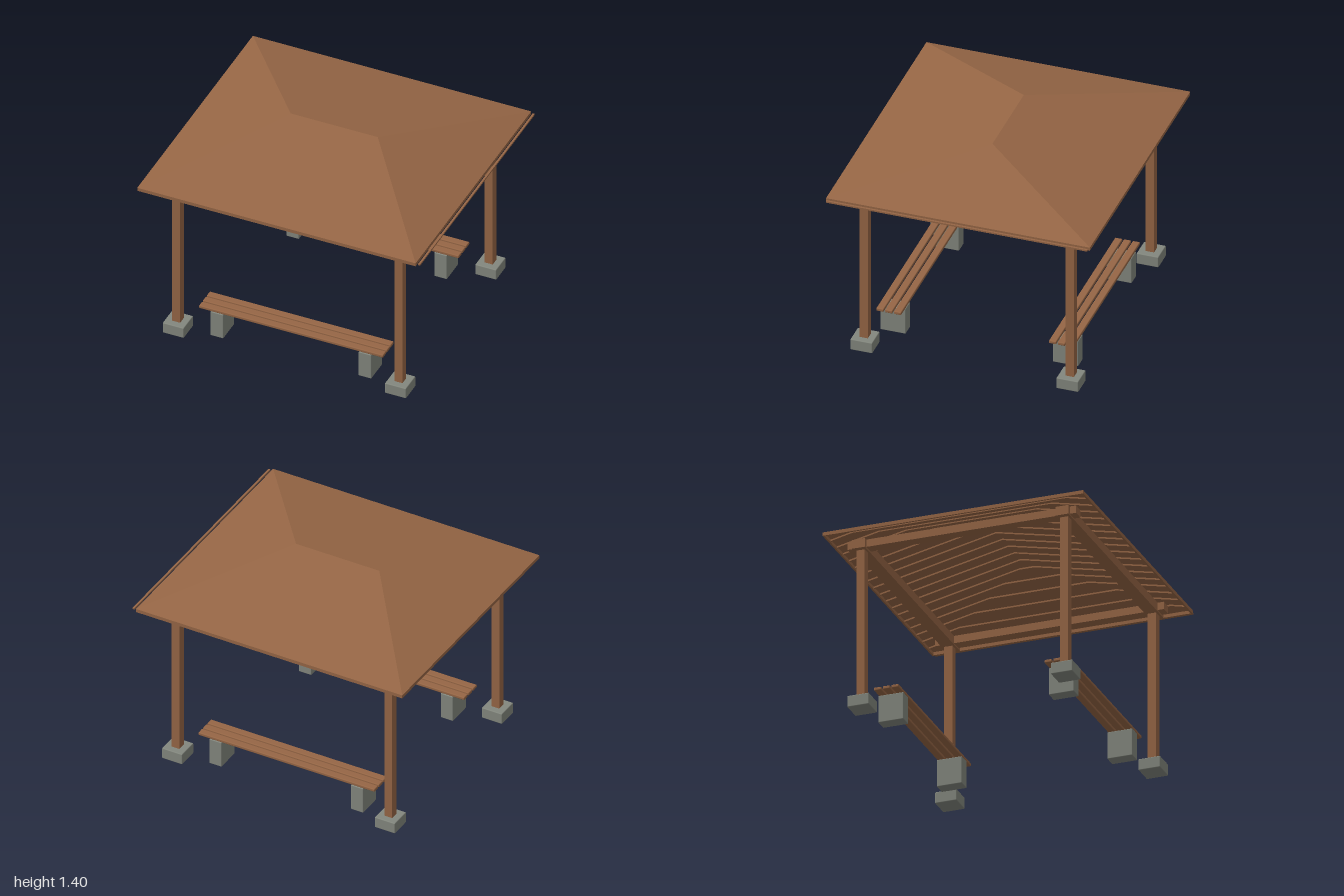
import * as THREE from 'three';
import { RoundedBoxGeometry } from 'three/addons/geometries/RoundedBoxGeometry.js';

const CX = -0.015;          // middle of the shelter along x
const HALF_X = 0.985, HALF_Z = 0.9, RIDGE = 0.308;
const EAVE = 1.21, RISE = 0.195;

export function createModel() {
  const group = new THREE.Group();
  const wood = new THREE.MeshStandardMaterial({ color: 0x966645 });
  wood.name = 'wood';
  const concrete = new THREE.MeshStandardMaterial({ color: 0x83877e });
  concrete.name = 'concrete';

  const add = (name, geometry, material, x = 0, y = 0, z = 0) => {
    const mesh = new THREE.Mesh(geometry, material);
    mesh.name = name;
    mesh.position.set(x, y, z);
    group.add(mesh);
    return mesh;
  };
  const box = (name, w, h, d, x, y, z) => add(name, new THREE.BoxGeometry(w, h, d), wood, x, y, z);
  const block = (name, w, h, d, x, y, z, material, r) =>
    add(name, new RoundedBoxGeometry(w, h, d, 2, r), material, x, y, z);

  // Hipped roof skin: four slopes, seen from above or (flipped) from below
  const slopes = (drop, flip) => {
    const y0 = EAVE - drop, y1 = EAVE + RISE - drop;
    const fl = [-HALF_X, y0, HALF_Z], fr = [HALF_X, y0, HALF_Z];
    const bl = [-HALF_X, y0, -HALF_Z], br = [HALF_X, y0, -HALF_Z];
    const rl = [-RIDGE, y1, 0], rr = [RIDGE, y1, 0];
    const faces = [[fl, fr, rr], [fl, rr, rl], [br, bl, rl], [br, rl, rr], [fr, br, rr], [bl, fl, rl]];
    const points = faces.flatMap(([a, b, c]) => (flip ? [a, c, b] : [a, b, c])).flat();
    const geometry = new THREE.BufferGeometry();
    geometry.setAttribute('position', new THREE.Float32BufferAttribute(points, 3));
    geometry.computeVertexNormals();
    return geometry;
  };
  add('roof', slopes(0, false), wood, CX);
  add('roofUnderside', slopes(0.006, true), wood, CX);

  // Fascia boards around the eaves
  for (const s of [-1, 1]) {
    box('fasciaLong', 2 * HALF_X, 0.024, 0.012, CX, 1.197, s * (HALF_Z - 0.006));
    box('fasciaShort', 0.012, 0.024, 2 * HALF_Z - 0.024, CX + s * (HALF_X - 0.006), 1.197, 0);
  }

  // Rafters run front to back and follow the slopes; the last sits just past the eave
  const ribWidth = 0.014;
  for (let i = 0; i <= 18; i++) {
    const x = i === 0 ? -0.978 : -0.988 + i * 0.11;
    const t = Math.min(1, Math.max(0, (HALF_X - Math.abs(x - CX)) / (HALF_X - RIDGE)));
    const end = HALF_Z - 0.008;
    const flat = HALF_Z * (1 - t);
    const profile = [[-end, 0]];
    if (flat > 0.001 && flat < end) profile.push([-flat, t], [flat, t]);
    else if (flat <= 0.001) profile.push([0, 1]);
    profile.push([end, 0]);
    const line = (drop) => profile.map(([z, k]) => new THREE.Vector2(z, EAVE + RISE * k - drop));
    const shape = new THREE.Shape([...line(0.016), ...line(0.005).reverse()]);
    const geometry = new THREE.ExtrudeGeometry(shape, { depth: ribWidth, bevelEnabled: false });
    geometry.rotateY(-Math.PI / 2);
    add('rafter', geometry, wood, x + ribWidth / 2);
  }

  // Beams crossing over the posts
  for (const s of [-1, 1]) {
    box('longBeam', 1.705, 0.062, 0.088, CX, 1.156, s * 0.703);
    box('crossBeam', 0.078, 0.052, 1.58, CX + s * 0.787, 1.161, 0);
  }

  // Posts on footings, and the two benches
  for (const sz of [-1, 1]) {
    for (const sx of [-1, 1]) {
      box('post', 0.058, 1.07, 0.058, CX + sx * 0.787, 0.605, sz * 0.703);
      block('footing', 0.15, 0.08, 0.15, CX + sx * 0.787, 0.04, sz * 0.703, concrete, 0.006);
      block('benchLeg', 0.091, 0.19, 0.174, CX + sx * 0.524, 0.095, sz * 0.589, concrete, 0.005);
    }
    for (const z of [0.529, 0.589, 0.649]) {
      block('benchSlat', 1.304, 0.022, 0.05, CX, 0.202, sz * z, wood, 0.006);
    }
  }
  return group;
}
